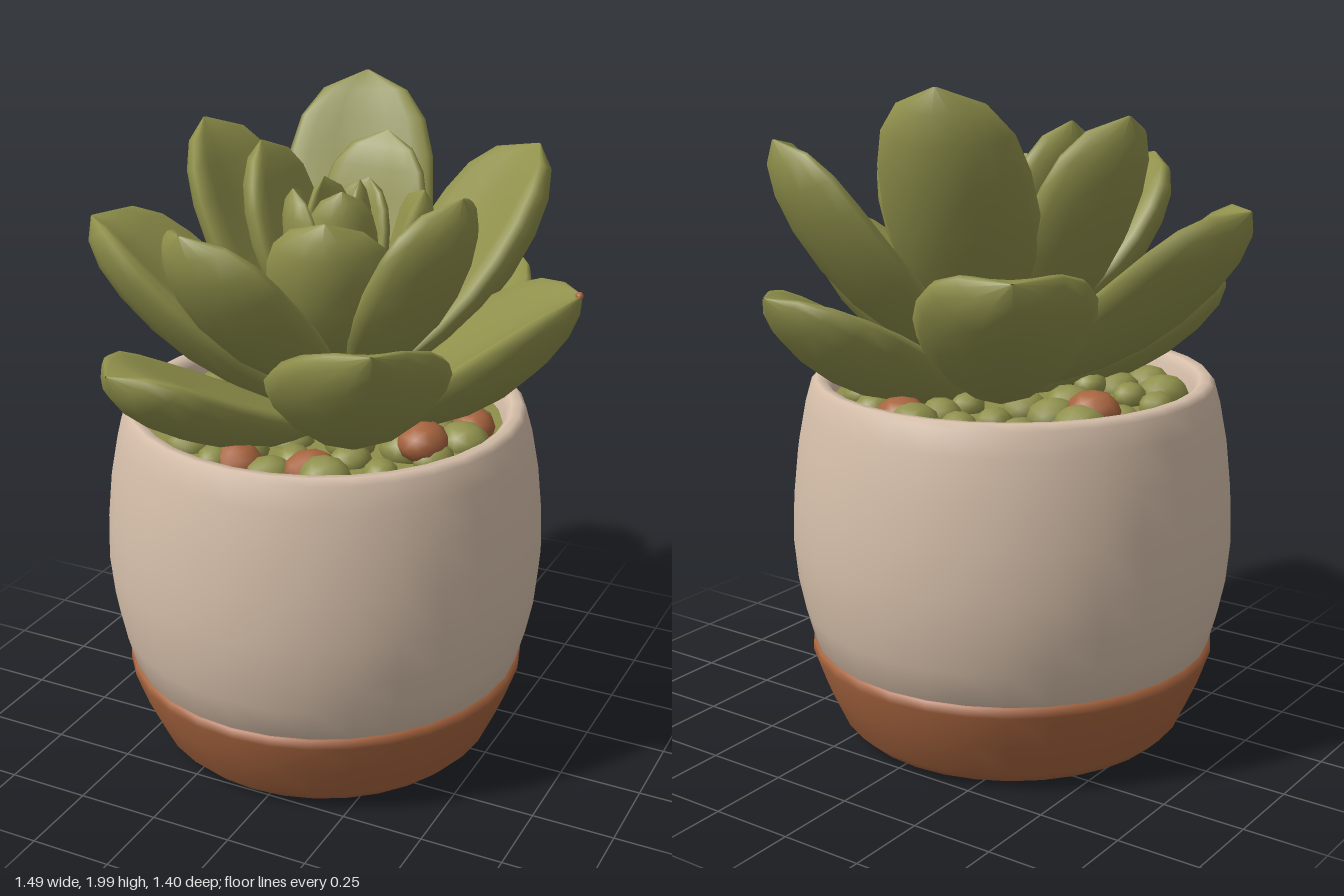
import * as THREE from 'three';

const V = (x, y, z) => new THREE.Vector3(x, y, z);
const STEPS = [0, 0.14, 0.28, 0.43, 0.58, 0.73, 0.85, 0.94, 1];
const POINTED = [0.3, 0.55, 0.8, 0.96, 1, 0.9, 0.7, 0.4, 0.02];
const ROUNDED = [0.3, 0.55, 0.8, 0.96, 1, 0.96, 0.83, 0.56, 0.02];

// Plump leaf with a nearly flat top and a keeled underside, swept from the rosette centre to its tip
function leafGeometry([x, y, z, half, baseR, baseY, cup, sag, roll = 0], widths) {
  const tip = V(x, y, z);
  const out = V(x, 0, z).normalize();
  const base = out.clone().multiplyScalar(baseR).setY(baseY);
  const ctrl = base.clone().lerp(tip, 0.5).addScaledVector(out, sag).add(V(0, -sag, 0));
  const curve = new THREE.QuadraticBezierCurve3(base, ctrl, tip);
  const flatSide = V(0, 1, 0).cross(out);
  const ring = 16, pos = [], index = [];
  STEPS.forEach((t, j) => {
    const p = curve.getPoint(t);
    const tangent = curve.getTangent(t);
    const side = flatSide.clone().applyAxisAngle(tangent, roll);
    const n = tangent.clone().cross(side);
    const w = half * widths[j];
    for (let i = 0; i < ring; i++) {
      const a = (i / ring) * Math.PI * 2, c = Math.cos(a), s = Math.sin(a);
      const lift = w * (cup * c * c + s * (s > 0 ? 0.36 : 0.34));
      const q = p.clone().addScaledVector(side, w * c).addScaledVector(n, lift);
      pos.push(q.x, q.y, q.z);
      if (j < STEPS.length - 1) {
        const k = j * ring + i, m = j * ring + (i + 1) % ring;
        index.push(k, m, m + ring, k, m + ring, k + ring);
      }
    }
  });
  const g = new THREE.BufferGeometry();
  g.setAttribute('position', new THREE.Float32BufferAttribute(pos, 3));
  g.setIndex(index);
  g.computeVertexNormals();
  return g;
}

export function createModel() {
  const model = new THREE.Group();
  const material = (name, color) => {
    const m = new THREE.MeshStandardMaterial({ color });
    m.name = name;
    return m;
  };
  const green = material('leafGreen', 0x8f904b);
  const cream = material('potCream', 0xd6bfaa);
  const clay = material('terracotta', 0xa8653f);

  const add = (name, geometry, mat, parent = model) => {
    const mesh = new THREE.Mesh(geometry, mat);
    mesh.name = name;
    parent.add(mesh);
    return mesh;
  };
  const lathe = pts => new THREE.LatheGeometry(pts.map(p => new THREE.Vector2(...p)), 32);

  // Pot: terracotta foot, cream body with a rolled rim, soil inside
  const pot = new THREE.Group();
  pot.name = 'pot';
  pot.position.set(-0.05, 0, 0.012);
  model.add(pot);
  add('potBase', lathe([[0, 0.01], [0.44, 0.005], [0.495, 0.015], [0.53, 0.05],
    [0.58, 0.16], [0.617, 0.265], [0.615, 0.295], [0.59, 0.296]]), clay, pot);
  add('potBody', lathe([[0.58, 0.292], [0.608, 0.295], [0.636, 0.4], [0.656, 0.5], [0.667, 0.62],
    [0.662, 0.76], [0.647, 0.9], [0.624, 1.02], [0.604, 1.09], [0.588, 1.108], [0.56, 1.105],
    [0.54, 1.08], [0.53, 1.0]]), cream, pot);
  add('soil', new THREE.CylinderGeometry(0.535, 0.535, 0.04, 32), green, pot).position.y = 1.02;

  // Pebbles: rings of green ones with a few terracotta ones between
  const pebble = new THREE.IcosahedronGeometry(1, 1);
  const addPebble = (name, mat, x, y, z, r, turn) => {
    const p = add(name, pebble, mat);
    p.position.set(x, y, z);
    p.scale.set(r, r * 0.75, r * 0.9);
    p.rotation.y = turn;
  };
  [[0.45, 17], [0.34, 13], [0.22, 8]].forEach(([r, count], k) => {
    for (let i = 0; i < count; i++) {
      const a = (i / count) * Math.PI * 2 + k * 0.4;
      const wob = Math.sin(i * 2.7 + k);
      addPebble('greenPebble', green, -0.05 + Math.cos(a) * (r + wob * 0.02), 1.05 + wob * 0.012,
        0.012 + Math.sin(a) * (r + wob * 0.02), 0.068 + 0.012 * Math.cos(i * 1.9), i);
    }
  });
  [[-0.45, 1.09, -0.17], [0.34, 1.1, 0.17], [-0.12, 1.05, 0.43], [0.1, 1.055, 0.4],
    [0.38, 1.05, -0.1], [0.04, 1.05, -0.41]]
    .forEach(([x, y, z], i) => addPebble('clayPebble', clay, x, y, z, 0.08, i * 1.3));

  // Leaves: tip x, y, z, half width, base radius, base height, cupping, sag, roll
  const rosette = new THREE.Group();
  rosette.name = 'rosette';
  model.add(rosette);
  const addLeaves = (name, widths, leaves) =>
    leaves.forEach(leaf => add(name, leafGeometry(leaf, widths), green, rosette));
  addLeaves('outerLeaf', POINTED, [
    [0.74, 1.55, 0.025, 0.24, 0.08, 1.06, 0.45, 0.08, 0.25],
    [0.29, 1.41, -0.7, 0.24, 0.08, 1.04, 0.4, 0.08],
    [0.42, 1.54, 0.69, 0.255, 0.08, 1.05, 0.35, 0.08],
  ]);
  addLeaves('outerLeaf', ROUNDED, [
    [-0.74, 1.63, 0.18, 0.24, 0.08, 1.08, 0.45, 0.08],
    [-0.51, 1.53, -0.66, 0.25, 0.08, 1.06, 0.4, 0.08],
    [-0.38, 1.35, 0.68, 0.22, 0.08, 1.04, 0.35, 0.08],
  ]);
  addLeaves('middleLeaf', ROUNDED, [
    [-0.16, 1.99, -0.51, 0.23, 0.08, 1.2, 0.3, 0.1],
    [0.41, 1.82, -0.51, 0.24, 0.08, 1.15, 0.35, 0.1],
    [-0.49, 1.9, -0.07, 0.21, 0.08, 1.2, 0.35, 0.09],
    [-0.22, 1.73, 0.54, 0.23, 0.06, 1.2, 0.32, 0.1],
    [0.4, 1.79, 0.07, 0.21, 0.06, 1.2, 0.35, 0.08],
  ]);
  addLeaves('innerLeaf', ROUNDED, [
    [0.02, 1.87, -0.27, 0.18, 0.04, 1.3, 0.3, 0.08],
    [0.08, 1.73, 0.27, 0.19, 0.04, 1.25, 0.35, 0.08],
    [-0.26, 1.87, 0.0, 0.18, 0.05, 1.3, 0.25, 0.07],
    [0.21, 1.75, -0.11, 0.15, 0.04, 1.3, 0.35, 0.07],
  ]);

  // Tight spiral of blunt bud leaves in the heart of the rosette
  addLeaves('budLeaf', ROUNDED, Array.from({ length: 5 }, (_, i) => {
    const a = 2.6 + i * 2.4, r = 0.14 - i * 0.022;
    return [Math.cos(a) * r, 1.76 + i * 0.006, Math.sin(a) * r, 0.13 - i * 0.012, 0.02, 1.35, 0.35, 0.05];
  }));

  // Dry tip on one outer leaf
  const dryTip = add('dryLeafTip', new THREE.SphereGeometry(0.012, 8, 6), clay, rosette);
  dryTip.position.set(0.732, 1.548, 0.025);
  return model;
}
